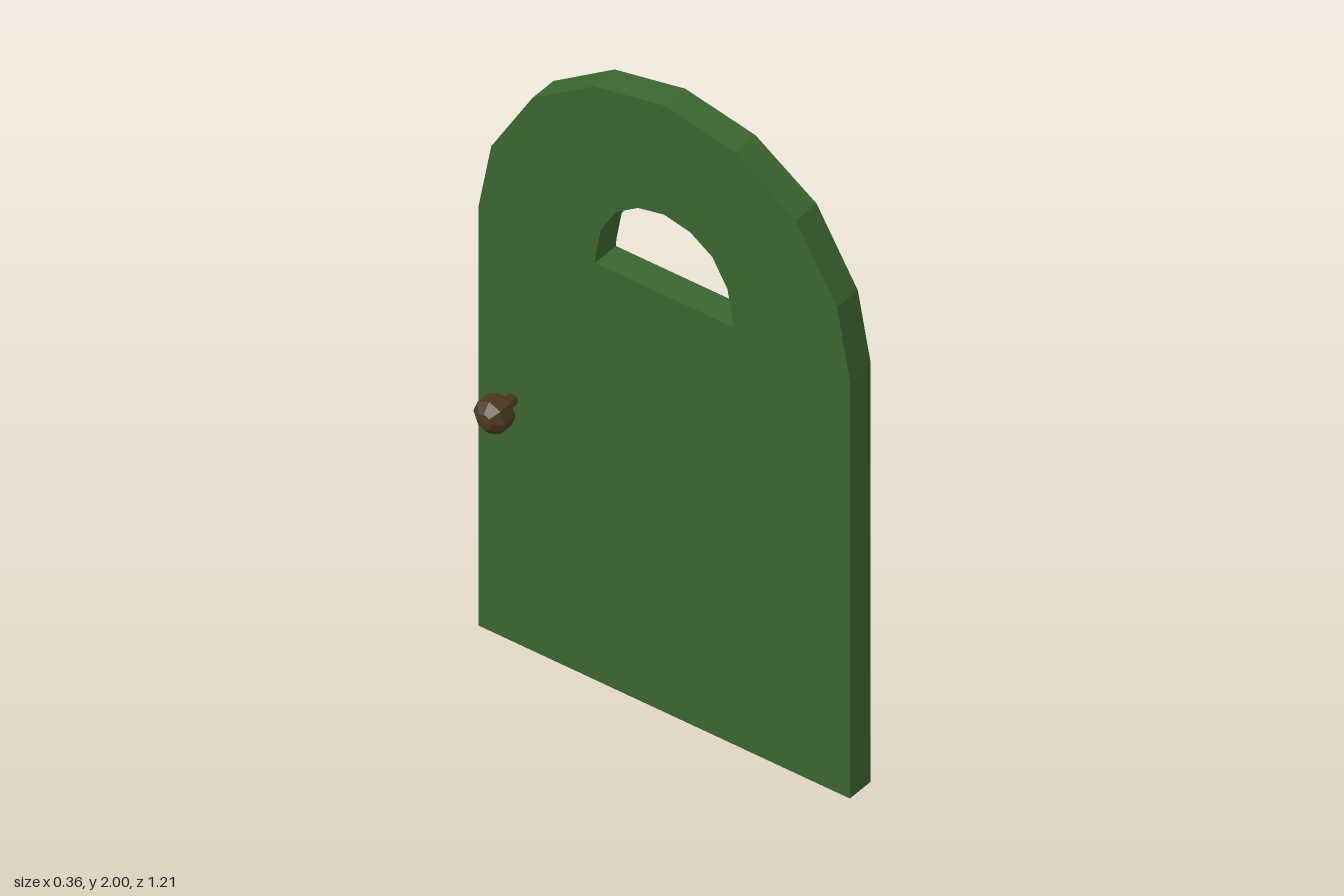
import * as THREE from 'three';

const green = new THREE.MeshStandardMaterial({ color: 0x3b662f, flatShading: true });
green.name = 'green paint';
const bronze = new THREE.MeshStandardMaterial({ color: 0x4a3820, flatShading: true });
bronze.name = 'dark bronze';

// Mirrors half of an arch, listed from its foot to its peak, into a full outline
function arch(half) {
  const other = half.slice(0, -1).reverse().map(([x, y]) => [-x, y]);
  return [...half, ...other].map(([x, y]) => new THREE.Vector2(x, y));
}

export function createModel() {
  const model = new THREE.Group();
  model.name = 'archedDoor';

  // Door panel with an arched window opening
  const shape = new THREE.Shape(arch([
    [0.607, 0], [0.607, 1.38], [0.565, 1.6], [0.43, 1.823], [0.23, 1.955], [0, 2],
  ]));
  shape.holes.push(new THREE.Path(arch([
    [0.226, 1.375], [0.224, 1.4], [0.207, 1.492], [0.157, 1.575], [0.085, 1.622], [0, 1.64],
  ])));
  const panelGeometry = new THREE.ExtrudeGeometry(shape, { depth: 0.09, bevelEnabled: false });
  panelGeometry.rotateY(Math.PI / 2).translate(-0.05, 0, 0);
  const panel = new THREE.Mesh(panelGeometry, green);
  panel.name = 'doorPanel';
  model.add(panel);

  // Spindle through the panel with a faceted knob at each end
  const handle = new THREE.Group();
  handle.name = 'handle';
  handle.position.set(0, 0.8, -0.495);
  model.add(handle);

  const spindle = new THREE.Mesh(new THREE.CylinderGeometry(0.018, 0.018, 0.24, 8), bronze);
  spindle.name = 'spindle';
  spindle.rotation.z = Math.PI / 2;
  handle.add(spindle);

  const profile = [[0, -0.05], [0.025, -0.046], [0.052, -0.023], [0.052, 0.023], [0.025, 0.046], [0, 0.05]]
    .map(([r, y]) => new THREE.Vector2(r, y));
  for (const side of [-1, 1]) {
    const knob = new THREE.Mesh(new THREE.LatheGeometry(profile, 8), bronze);
    knob.name = side > 0 ? 'leftKnob' : 'rightKnob';
    knob.position.x = side * 0.128;
    knob.rotation.z = -side * Math.PI / 2;
    handle.add(knob);
  }
  return model;
}
